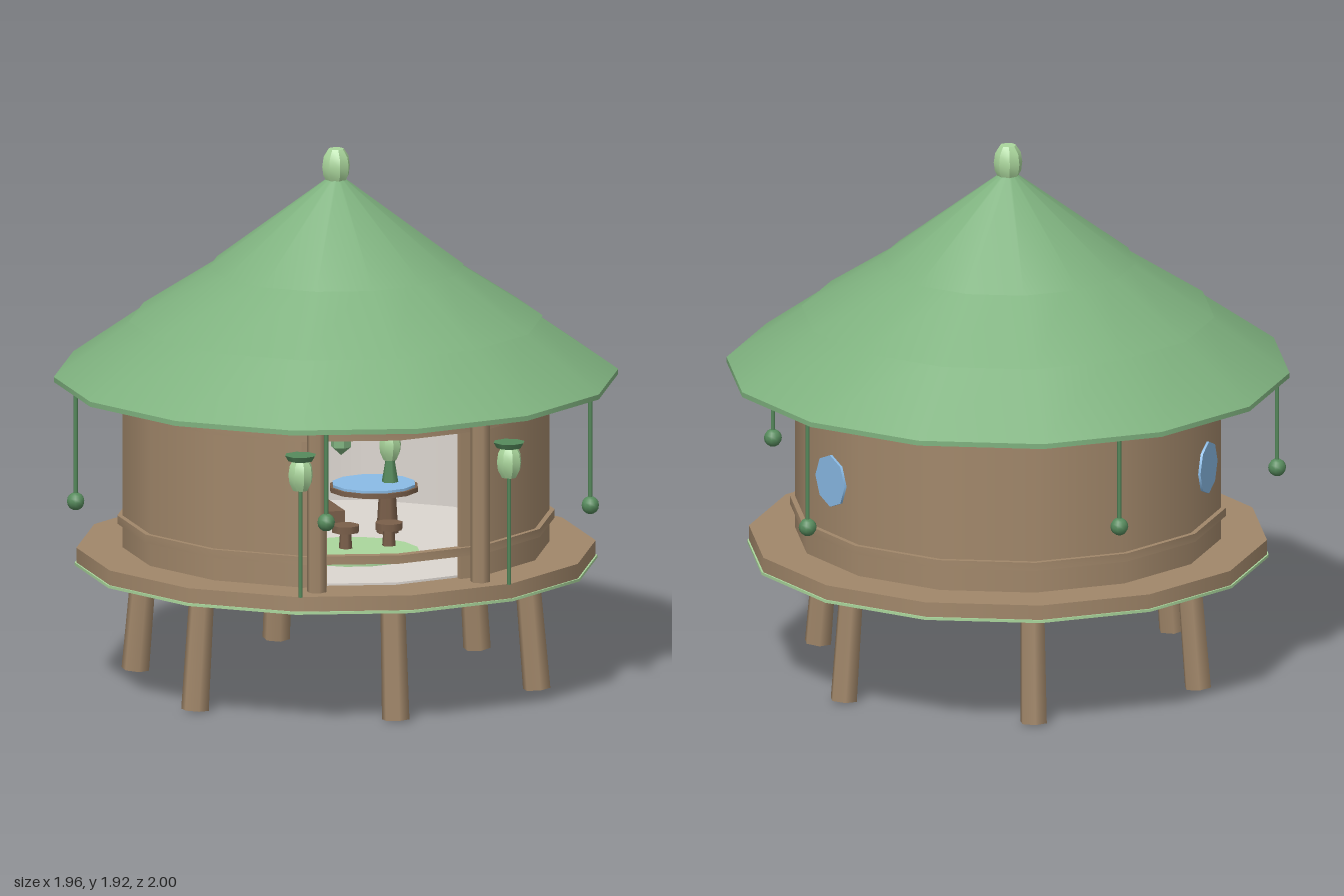
import * as THREE from 'three';
import { toCreasedNormals } from 'three/addons/utils/BufferGeometryUtils.js';

const SIDES = 14;
const mat = (name, color, side = THREE.FrontSide) => {
  const m = new THREE.MeshStandardMaterial({ color, side });
  m.name = name;
  return m;
};

export function createModel() {
  const group = new THREE.Group();
  const wood = mat('wood', 0xa1876a, THREE.DoubleSide);
  const darkWood = mat('dark wood', 0x7a5f4a);
  const leaf = mat('leaf green', 0x7fb27f);
  const pale = mat('pale green', 0xaad69c);
  const moss = mat('moss green', 0x568a5c);
  const blue = mat('sky blue', 0x8abbe6);
  const cream = mat('cream', 0xdcd6d0, THREE.DoubleSide);

  const add = (name, geo, material, x = 0, y = 0, z = 0, parent = group) => {
    const m = new THREE.Mesh(geo, material);
    m.name = name;
    m.position.set(x, y, z);
    parent.add(m);
    return m;
  };
  // upright cylinder given by its bottom and top heights
  const cyl = (name, material, rTop, rBottom, y0, y1, sides = SIDES, x = 0, z = 0, parent = group) =>
    add(name, new THREE.CylinderGeometry(rTop, rBottom, y1 - y0, sides), material, x, (y0 + y1) / 2, z, parent);
  const lathe = (pts, sides) => toCreasedNormals(
    new THREE.LatheGeometry(pts.map(p => new THREE.Vector2(...p)), sides), 0.6);
  // hollow ring with rectangular section
  const ring = (name, material, rIn, rOut, y0, y1) =>
    add(name, lathe([[rOut, y0], [rOut, y1], [rIn, y1], [rIn, y0], [rOut, y0]], SIDES), material);
  // faceted bulb used for finial and lanterns
  const bulb = (name, material, r, h, x, y, z, parent = group) =>
    add(name, lathe([[0, 0], [r * 0.6, 0], [r * 0.92, h * 0.25], [r, h * 0.5],
      [r * 0.9, h * 0.78], [r * 0.55, h], [0, h]], 8), material, x, y, z, parent);

  // platform on six splayed legs
  cyl('platform', wood, 0.92, 0.92, 0.437, 0.49);
  cyl('platformUnderside', pale, 0.926, 0.926, 0.427, 0.437);
  for (let i = 0; i < 6; i++) {
    const pivot = new THREE.Group();
    pivot.name = 'leg';
    pivot.rotation.y = i * Math.PI / 3;
    const leg = cyl('legPost', wood, 0.045, 0.05, 0.003, 0.44, 6, 0, 0.71, pivot);
    leg.rotation.x = -0.085;
    group.add(pivot);
  }

  // round wall with a front doorway
  const step = 2 * Math.PI / SIDES;
  add('wall', new THREE.CylinderGeometry(0.757, 0.757, 0.61, SIDES - 2, 1, true, step, 2 * Math.PI - 2 * step),
    wood, 0, 0.79, 0);
  add('innerBackWall', new THREE.CylinderGeometry(0.735, 0.735, 0.6, 6, 1, true, 4 * step, 6 * step),
    cream, 0, 0.79, 0);
  cyl('floor', cream, 0.73, 0.73, 0.49, 0.498);
  ring('doorHeader', wood, 0.735, 0.757, 1.03, 1.095);
  ring('upperBand', wood, 0.74, 0.775, 1.02, 1.05);
  ring('lowerBand', wood, 0.74, 0.775, 0.575, 0.605);
  for (const s of [-1, 1]) {
    const jamb = add('doorJamb', new THREE.BoxGeometry(0.09, 0.6, 0.02), wood, s * 0.288, 0.79, 0.683);
    jamb.rotation.y = s * step / 2;
    cyl('doorPost', wood, 0.035, 0.035, 0.49, 1.1, 6, s * 0.302, 0.762);

    // round side windows
    const a = s * 4.5 * step;
    const win = add('window', new THREE.CylinderGeometry(0.095, 0.095, 0.009, 8), blue,
      Math.sin(a) * 0.745, 0.8, Math.cos(a) * 0.745);
    win.rotation.set(Math.PI / 2, 0, -a);

    // standing lanterns by the door
    const lantern = new THREE.Group();
    lantern.name = 'lantern';
    lantern.position.set(s * 0.385, 0, 0.84);
    cyl('lanternPole', moss, 0.007, 0.007, 0.49, 0.89, 6, 0, 0, lantern);
    bulb('lanternBulb', pale, 0.045, 0.115, 0, 0.877, 0, lantern);
    cyl('lanternCap', moss, 0.057, 0.045, 0.985, 1.005, 8, 0, 0, lantern);
    group.add(lantern);
  }

  // three-tier roof with a finial
  cyl('roofRim', leaf, 1.0, 1.0, 1.09, 1.108);
  cyl('lowerRoof', leaf, 0.69, 1.0, 1.108, 1.325);
  cyl('middleRoof', leaf, 0.40, 0.733, 1.305, 1.52);
  cyl('upperRoof', leaf, 0.02, 0.452, 1.495, 1.82);
  bulb('finial', pale, 0.051, 0.125, 0, 1.793, 0);

  // five pendants under the eaves
  [0.77, 0.7, 0.7, 0.77, 0.7].forEach((y, i) => {
    const a = -0.33 + i * 2 * Math.PI / 5;
    const x = Math.sin(a) * 0.957, z = Math.cos(a) * 0.957;
    cyl('pendantCord', moss, 0.008, 0.008, y, 1.1, 6, x, z);
    add('pendantBall', new THREE.SphereGeometry(0.032, 10, 8), moss, x, y, z);
  });

  // ceiling lamp
  cyl('ceilingLampDisc', moss, 0.17, 0.17, 0.945, 0.965, 12);
  add('ceilingLampBulb', lathe([[0, 0.875], [0.048, 0.91], [0.048, 0.985], [0, 1.02]], 6), leaf);
  cyl('ceilingLampCord', moss, 0.008, 0.008, 1.0, 1.09, 6);

  // bed with a rounded blanket
  add('bedFrame', new THREE.BoxGeometry(0.5, 0.05, 0.36), darkWood, -0.15, 0.535, -0.4);
  const blanket = add('blanket', new THREE.SphereGeometry(1, 20, 12), blue, -0.17, 0.61, -0.4);
  blanket.scale.set(0.23, 0.11, 0.16);

  // table, stools and small lamps
  cyl('tableTop', darkWood, 0.16, 0.16, 0.655, 0.672, 12, 0.17, -0.1);
  cyl('tableCloth', blue, 0.15, 0.15, 0.672, 0.681, 12, 0.17, -0.1);
  cyl('tableLeg', darkWood, 0.03, 0.04, 0.498, 0.655, 6, 0.22, -0.1);
  for (const x of [-0.01, 0.15]) {
    cyl('stoolSeat', darkWood, 0.05, 0.05, 0.565, 0.59, 8, x, 0.15);
    cyl('stoolLeg', darkWood, 0.02, 0.025, 0.498, 0.565, 6, x, 0.15);
  }
  cyl('rug', pale, 0.24, 0.24, 0.498, 0.506, 16, 0, 0.2);
  add('wallLamp', lathe([[0, 0.7], [0.036, 0.73], [0.036, 0.79], [0, 0.82]], 6), leaf, 0.17, 0, -0.5);
  bulb('tableLantern', pale, 0.04, 0.11, 0.23, 0.76, -0.1);
  cyl('tableLanternStem', moss, 0.015, 0.03, 0.681, 0.77, 6, 0.23, -0.1);
  cyl('tableLanternCap', moss, 0.05, 0.04, 0.865, 0.885, 8, 0.23, -0.1);

  return group;
}
